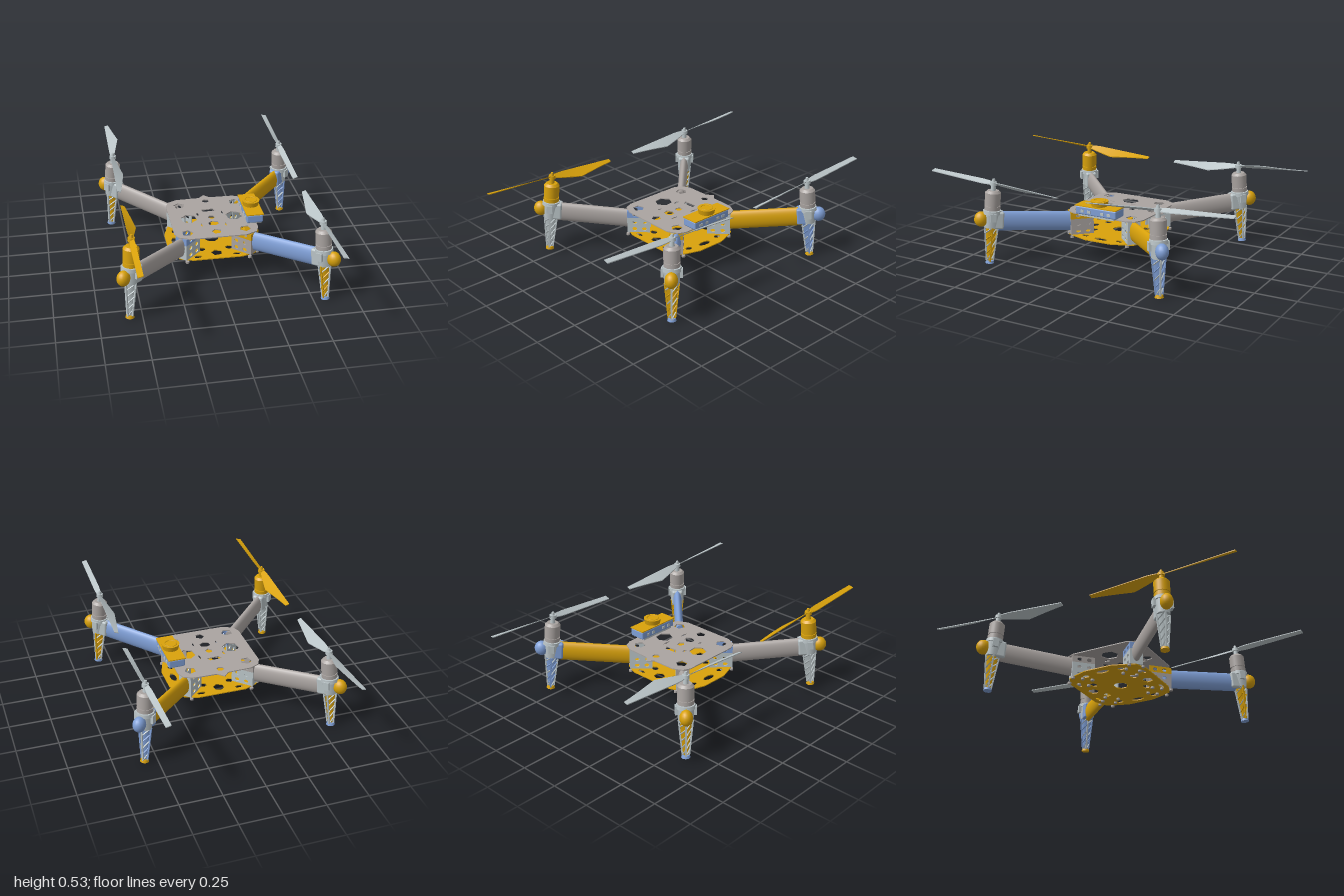
import * as THREE from 'three';
import { RoundedBoxGeometry } from 'three/addons/geometries/RoundedBoxGeometry.js';

const makeMaterial = (name, color, side = THREE.FrontSide) => {
  const m = new THREE.MeshStandardMaterial({ color, side });
  m.name = name;
  return m;
};
const gray = makeMaterial('warm gray', 0xaaa4a1);
const light = makeMaterial('light gray', 0xbac4c7);
const yellow = makeMaterial('yellow', 0xd9a20b);
const blue = makeMaterial('blue', 0x7f9fd6);

function add(parent, name, geometry, material, x = 0, y = 0, z = 0) {
  const mesh = new THREE.Mesh(geometry, material);
  mesh.name = name;
  mesh.position.set(x, y, z);
  parent.add(mesh);
  return mesh;
}

function addGroup(parent, name) {
  const g = new THREE.Group();
  g.name = name;
  parent.add(g);
  return g;
}

const box = (w, h, d) => new THREE.BoxGeometry(w, h, d);
const cyl = (top, bottom, h, n = 20) => new THREE.CylinderGeometry(top, bottom, h, n);

// Polygonal hole: centre, half sizes, corner count, turn
function hole(x, y, rx, ry, n = 6, turn = 0.4) {
  const pts = [];
  for (let i = 0; i < n; i++) {
    const a = turn + (i / n) * Math.PI * 2;
    pts.push(new THREE.Vector2(x + rx * Math.cos(a), y + ry * Math.sin(a)));
  }
  return new THREE.Path(pts);
}

function extrude(outline, holes, depth) {
  const shape = new THREE.Shape(outline.map(([x, y]) => new THREE.Vector2(x, y)));
  shape.holes = holes;
  return new THREE.ExtrudeGeometry(shape, { depth, bevelEnabled: false });
}

// Straight bar between two points
function beam(parent, name, a, b, thickness, material) {
  const dir = b.clone().sub(a);
  const mesh = add(parent, name, box(thickness, dir.length(), thickness), material);
  mesh.position.copy(a).add(b).multiplyScalar(0.5);
  mesh.quaternion.setFromUnitVectors(new THREE.Vector3(0, 1, 0), dir.normalize());
}

// Blade along +x; bulge is the signed side (in z) of the wide edge, 0 for a slim blade
function bladeGeometry(bulge, pitch) {
  const length = 0.44;
  const g = new THREE.BoxGeometry(length, 0.005, 2, 12, 1, 1);
  const p = g.attributes.position;
  for (let i = 0; i < p.count; i++) {
    const t = p.getX(i) / length + 0.5;
    const side = Math.sign(p.getZ(i));
    let half = 0.015 * Math.min(1, 0.6 + t * 3);
    if (bulge && side === bulge) {
      half = t < 0.42
        ? THREE.MathUtils.lerp(0.01, 0.048, t / 0.42)
        : THREE.MathUtils.lerp(0.048, 0.008, (t - 0.42) / 0.58);
    }
    const z = side * half;
    p.setXYZ(i, 0.01 + t * length, p.getY(i) + z * pitch * (1 - 0.6 * t), z);
  }
  g.computeVertexNormals();
  return g;
}

function buildPlates(root) {
  const corners = [[-0.175, -0.18], [0.175, -0.18], [-0.175, 0.175], [0.175, 0.175]];
  // Top plate with a pointed tab at the back
  const top = extrude([
    [-0.255, -0.19], [-0.235, -0.235], [-0.18, -0.262], [-0.035, -0.265], [0, -0.3],
    [0.035, -0.265], [0.18, -0.262], [0.235, -0.235], [0.255, -0.19], [0.255, 0.17],
    [0.235, 0.22], [0.17, 0.25], [-0.17, 0.25], [-0.235, 0.22], [-0.255, 0.17],
  ], [
    hole(-0.14, 0, 0.052, 0.055), hole(0.14, 0, 0.052, 0.055),
    hole(0, 0, 0.022, 0.025, 5), hole(0, 0.078, 0.035, 0.03),
    hole(0, 0.182, 0.03, 0.03, 5, 0.8), hole(0, -0.218, 0.024, 0.022, 6),
    hole(-0.005, -0.093, 0.055, 0.02, 4, 0.6),
    hole(-0.078, -0.05, 0.01, 0.022, 4), hole(0.075, -0.05, 0.006, 0.03, 4, 0),
    hole(0.07, 0.1, 0.006, 0.03, 4, 0), hole(-0.075, 0.09, 0.006, 0.02, 4, 0),
    ...corners.map(([x, z]) => hole(x, z, 0.036, 0.036, 5, x + z)),
  ], 0.006);
  top.rotateX(Math.PI / 2);
  add(root, 'topPlate', top, gray, 0, 0.293, 0);

  // Bottom plate with side lobes
  const half = [
    [0.15, -0.26], [0.23, -0.225], [0.255, -0.17], [0.282, -0.09],
    [0.282, 0.08], [0.255, 0.16], [0.23, 0.22], [0.15, 0.25],
  ];
  const holes = [
    hole(0, 0, 0.045, 0.045, 8), hole(0, 0.182, 0.035, 0.035, 5, 0.8),
    hole(0, -0.19, 0.035, 0.035, 6),
  ];
  for (const s of [-1, 1]) {
    holes.push(
      hole(s * 0.23, 0, 0.02, 0.045, 8), hole(s * 0.085, 0.13, 0.026, 0.022),
      hole(s * 0.085, -0.14, 0.026, 0.022), hole(s * 0.215, 0.115, 0.018, 0.024),
      hole(s * 0.215, -0.12, 0.018, 0.024), hole(s * 0.12, 0.215, 0.028, 0.014),
      hole(s * 0.12, -0.222, 0.028, 0.014),
    );
  }
  const bottom = extrude([...half, ...half.map(([x, z]) => [-x, z]).reverse()], holes, 0.006);
  bottom.rotateX(Math.PI / 2);
  add(root, 'bottomPlate', bottom, yellow, 0, 0.148, 0);
  for (const s of [-1, 1]) add(root, 'plateScrew', cyl(0.01, 0.01, 0.008, 10), gray, s * 0.03, 0.284, 0.15);
}

// Sensor box on the +x side of the top plate
function buildSensorBox(root) {
  const g = addGroup(root, 'sensorBox');
  add(g, 'sensorFoot', box(0.09, 0.014, 0.24), light, 0.243, 0.3, 0);
  add(g, 'sensorCase', new RoundedBoxGeometry(0.1, 0.05, 0.276, 2, 0.008), blue, 0.243, 0.328, 0);
  add(g, 'sensorLid', box(0.105, 0.006, 0.28), yellow, 0.243, 0.356, 0);
  const cap = new THREE.CylinderGeometry(0.054, 0.047, 0.033, 24);
  add(g, 'sensorCap', cap, yellow, 0.243, 0.374, 0);
  add(g, 'sensorRing', new THREE.TorusGeometry(0.036, 0.004, 6, 24).rotateX(Math.PI / 2), yellow, 0.243, 0.39, 0);
  for (const z of [-0.09, -0.045, 0.045, 0.09]) {
    for (const x of [0.193, 0.293]) add(g, 'sensorPort', box(0.006, 0.016, 0.022), light, x, 0.325, z);
  }
}

// Bracket around the arm root, local x pointing outward
function buildBracket(arm, lower, upper) {
  const g = addGroup(arm, 'armBracket');
  const rows = [
    [0.148, 0.245, [0.17, 0.215], lower],
    [0.245, 0.287, [0.266], upper],
  ];
  for (const [y0, y1, ys, material] of rows) {
    const holes = ys.flatMap(y => [0.21, 0.27].map(x => hole(x, y, 0.015, 0.012, 8)));
    const sheet = extrude([[0.175, y0], [0.315, y0], [0.315, y1], [0.175, y1]], holes, 0.006);
    for (const s of [-1, 1]) add(g, 'bracketSide', sheet, material, 0, 0, s * 0.036 - 0.003);
    add(g, 'bracketEnd', box(0.012, y1 - y0, 0.066), material, 0.309, (y0 + y1) / 2, 0);
  }
  for (const x of [0.19, 0.25, 0.31]) {
    for (const z of [-0.042, 0.042]) add(g, 'bracketScrew', cyl(0.011, 0.011, 0.012, 10), gray, x, 0.137, z);
  }
}

// Tapered lattice leg below the motor
function buildLeg(parent, skin, post, foot) {
  const g = addGroup(parent, 'landingLeg');
  add(g, 'legCore', cyl(0.034, 0.015, 0.21, 4), skin, 0, -0.13, 0);
  const at = (i, t) => {
    const r = THREE.MathUtils.lerp(0.04, 0.019, t), a = i * Math.PI / 2;
    return new THREE.Vector3(r * Math.cos(a), -0.02 - 0.215 * t, r * Math.sin(a));
  };
  for (let i = 0; i < 4; i++) {
    beam(g, 'legPost', at(i, 0), at(i, 1), 0.009, i % 2 ? post : light);
    for (let k = 0; k < 5; k++) beam(g, 'legBrace', at(i, k / 5), at(i + 1, (k + 1) / 5), 0.006, k % 2 ? post : light);
  }
  add(g, 'foot', cyl(0.022, 0.026, 0.016, 16), foot, 0, -0.24, 0);
}

function buildArm(root, o) {
  const yaw = Math.atan2(-o.sz, o.sx);
  const arm = addGroup(root, 'arm');
  arm.rotation.y = yaw;
  buildBracket(arm, o.lower, o.upper);

  // Everything outboard leans with the rising arm
  const tilt = addGroup(arm, 'armAssembly');
  tilt.position.set(0.79, 0.251, 0);
  tilt.rotation.z = 0.083;
  const tube = new THREE.CylinderGeometry(1, 1, 0.47, 28).rotateZ(Math.PI / 2).scale(1, 0.06, 0.027);
  add(tilt, 'armTube', tube, o.tube, -0.275, 0.015, 0);

  // Motor mount
  add(tilt, 'mountClamp', new RoundedBoxGeometry(0.07, 0.105, 0.07, 2, 0.012), o.clamp, -0.035, 0.022, 0);
  add(tilt, 'mountBody', cyl(0.05, 0.042, 0.1, 8), light, 0, 0.025, 0);
  add(tilt, 'mountCollar', cyl(0.054, 0.056, 0.022, 10), light, 0, 0.07, 0);
  for (const s of [-1, 1]) add(tilt, 'mountEar', box(0.035, 0.05, 0.016), light, 0, 0.045, s * 0.052);
  const cover = new THREE.SphereGeometry(1, 18, 12).scale(0.042, 0.046, 0.037);
  add(tilt, 'lightCover', cover, o.cover, 0.063, 0.025, 0);
  buildLeg(tilt, o.skin, o.post, o.foot);

  // Motor
  add(tilt, 'motorBase', cyl(0.047, 0.047, 0.024, 24), o.motor, 0, 0.096, 0);
  add(tilt, 'motorGap', cyl(0.042, 0.042, 0.01, 24), o.motor, 0, 0.112, 0);
  add(tilt, 'motorBell', cyl(0.047, 0.047, 0.072, 24), o.motor, 0, 0.152, 0);
  add(tilt, 'motorCap', cyl(0.034, 0.047, 0.014, 24), o.motor, 0, 0.195, 0);

  // Propeller, blades running along world z
  const prop = addGroup(tilt, 'propeller');
  prop.position.y = 0.243;
  prop.rotation.y = -Math.PI / 2 - yaw;
  add(prop, 'propShaft', cyl(0.012, 0.016, 0.05, 12), o.prop, 0, -0.02, 0);
  add(prop, 'propHub', cyl(0.02, 0.022, 0.02, 12), o.prop, 0, 0, 0);
  add(prop, 'propNut', cyl(0.008, 0.012, 0.02, 6), o.prop, 0, 0.018, 0);
  const pitch = o.sx * o.sz * 0.7;
  add(prop, 'blade', bladeGeometry(o.bulge[0], pitch), o.prop);
  add(prop, 'blade', bladeGeometry(o.bulge[1], pitch), o.prop).rotation.y = Math.PI;
}

export function createModel() {
  const root = new THREE.Group();
  root.name = 'quadcopter';
  buildPlates(root);
  buildSensorBox(root);
  const arms = [
    { sx: 1, sz: 1, tube: blue, lower: gray, upper: yellow, clamp: light, cover: yellow,
      skin: yellow, post: yellow, foot: blue, motor: gray, prop: light, bulge: [0, -1] },
    { sx: 1, sz: -1, tube: yellow, lower: light, upper: light, clamp: blue, cover: blue,
      skin: blue, post: blue, foot: yellow, motor: gray, prop: light, bulge: [0, 0] },
    { sx: -1, sz: 1, tube: gray, lower: light, upper: blue, clamp: light, cover: yellow,
      skin: light, post: light, foot: yellow, motor: yellow, prop: yellow, bulge: [0, 1] },
    { sx: -1, sz: -1, tube: gray, lower: light, upper: gray, clamp: light, cover: yellow,
      skin: yellow, post: light, foot: blue, motor: gray, prop: light, bulge: [-1, 1] },
  ];
  arms.forEach(o => buildArm(root, o));
  return root;
}
